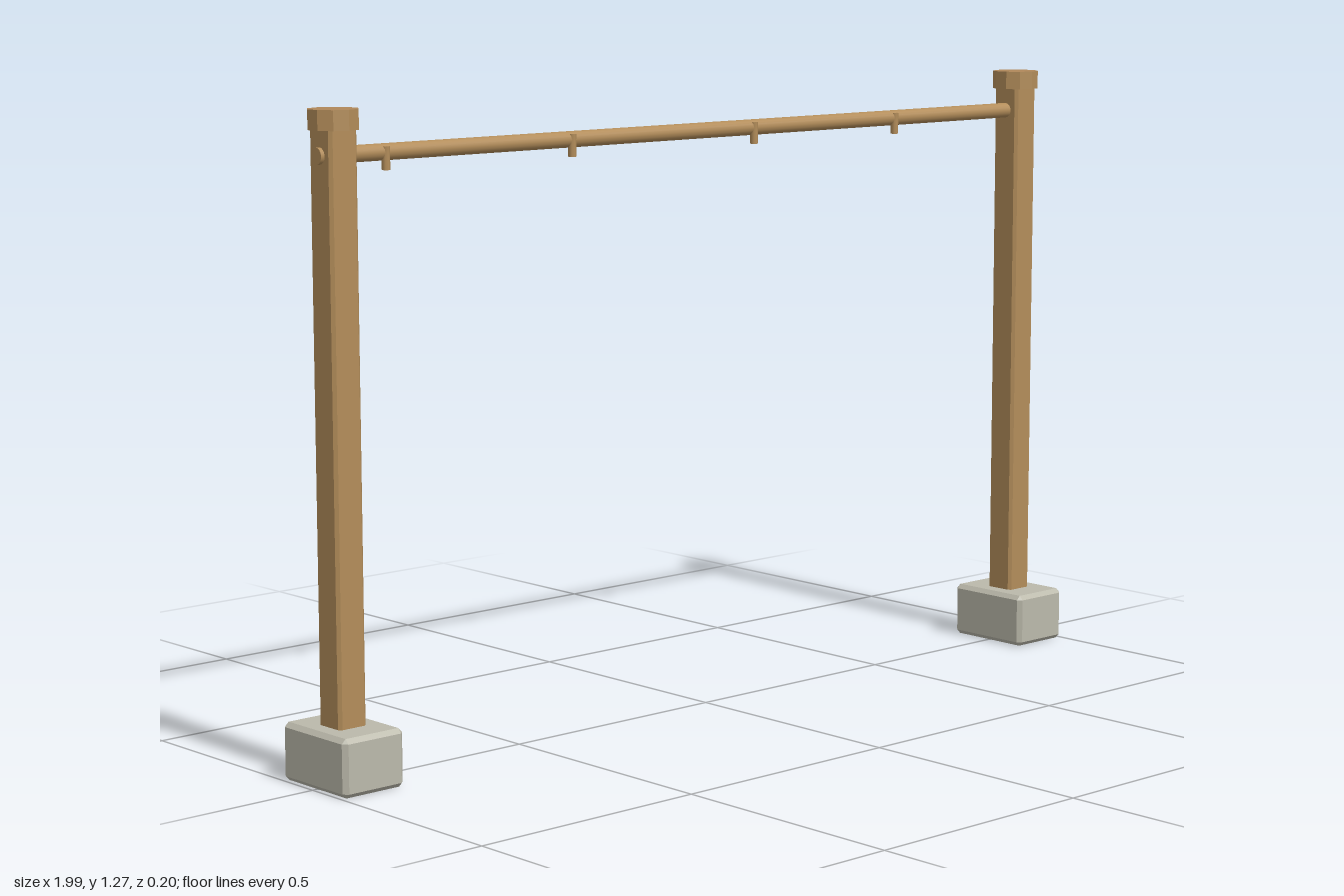
import * as THREE from 'three';
import { ConvexGeometry } from 'three/addons/geometries/ConvexGeometry.js';

// Box with every edge chamfered by c
function chamferBox(w, h, d, c) {
  const points = [];
  for (const x of [-1, 1]) for (const y of [-1, 1]) for (const z of [-1, 1]) {
    for (let axis = 0; axis < 3; axis++) {
      const inset = [c, c, c];
      inset[axis] = 0;
      points.push(new THREE.Vector3(
        x * (w / 2 - inset[0]), y * (h / 2 - inset[1]), z * (d / 2 - inset[2])));
    }
  }
  return new ConvexGeometry(points);
}

export function createModel() {
  const group = new THREE.Group();
  const material = (name, color) => {
    const m = new THREE.MeshStandardMaterial({ color });
    m.name = name;
    return m;
  };
  const wood = material('wood', 0xb38d5a);
  const endGrain = material('end grain', 0xb0875a);
  const concrete = material('concrete', 0xbbb9ab);
  const capWood = wood.clone();
  capWood.name = 'cap wood';
  capWood.flatShading = true;

  const add = (name, geometry, mat, x, y, z) => {
    const mesh = new THREE.Mesh(geometry, mat);
    mesh.name = name;
    mesh.position.set(x, y, z);
    group.add(mesh);
    return mesh;
  };

  // Footing, post and faceted cap at each end
  const footing = chamferBox(0.14, 0.113, 0.196, 0.009);
  const post = chamferBox(0.064, 1.14, 0.066, 0.006);
  const cap = new THREE.CylinderGeometry(0.049, 0.049, 0.038, 10);
  for (const [side, s] of [['left', 1], ['right', -1]]) {
    const x = s * 0.927;
    add(side + 'Footing', footing, concrete, x, 0.0565, 0);
    add(side + 'Post', post, wood, x, 0.67, 0);
    add(side + 'Cap', cap, [capWood, endGrain, capWood], x, 1.248, 0);
  }

  // Rail passing through both posts
  const rail = new THREE.CylinderGeometry(0.016, 0.016, 1.934, 16);
  rail.rotateZ(Math.PI / 2);
  add('rail', rail, wood, 0, 1.182, 0);

  // Small pegs hanging on the front of the rail
  const peg = new THREE.CylinderGeometry(0.008, 0.008, 0.044, 8);
  [-0.815, -0.362, 0.125, 0.536].forEach((x, i) =>
    add('peg' + (i + 1), peg, wood, x, 1.171, 0.01));

  return group;
}
